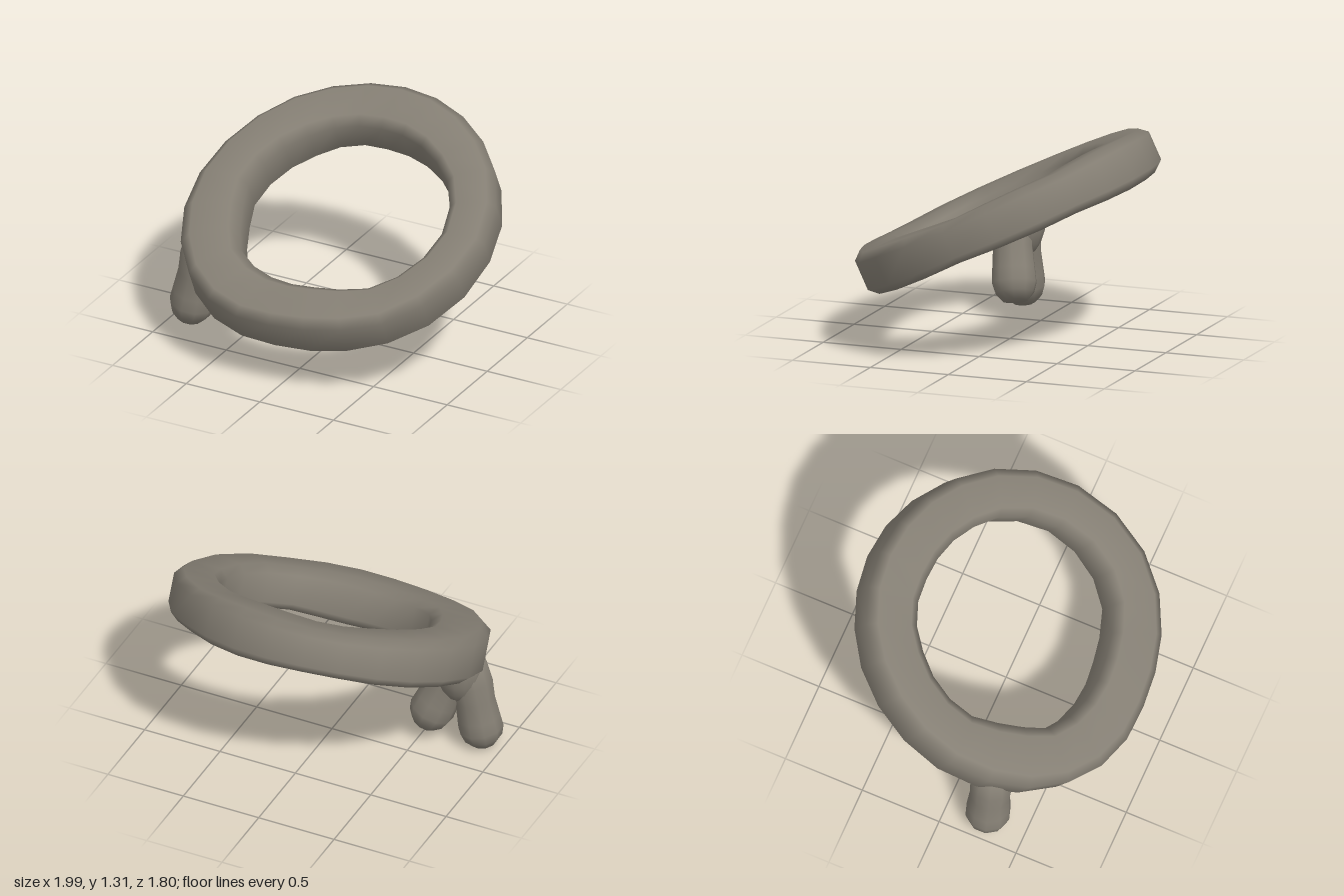
import * as THREE from 'three';

const material = new THREE.MeshStandardMaterial({ color: 0x857f74 });
const SLOPE = 0.48; // the ring drops toward the front
const MID_Y = 0.79;

// Stations every 22.5 degrees from +x toward +z:
// [centre radius seen from above, half width, half thickness]
const stations = [
  [0.855, 0.145, 0.125], [0.848, 0.148, 0.14], [0.8, 0.155, 0.135], [0.725, 0.165, 0.15],
  [0.705, 0.165, 0.145], [0.73, 0.178, 0.135], [0.757, 0.172, 0.145], [0.75, 0.188, 0.15],
  [0.765, 0.165, 0.15], [0.75, 0.16, 0.15], [0.73, 0.168, 0.145], [0.72, 0.165, 0.135],
  [0.71, 0.17, 0.145], [0.727, 0.163, 0.15], [0.765, 0.155, 0.135], [0.82, 0.145, 0.14],
];

// Uneven ring with a bevelled box section, swept around the tilted plane
function ringGeometry() {
  const count = 24, sides = 8;
  const table = new THREE.CatmullRomCurve3(
    stations.map((s) => new THREE.Vector3(...s)), true, 'catmullrom', 0.5);
  const normal = new THREE.Vector3(0, 1, SLOPE).normalize();
  const positions = [], index = [];
  const boxy = (v) => 1.03 * Math.sign(v) * Math.pow(Math.abs(v), 0.47);
  for (let i = 0; i < count; i++) {
    const theta = (i / count) * Math.PI * 2;
    const s = table.getPoint(i / count);
    const dir = new THREE.Vector3(Math.cos(theta), -SLOPE * Math.sin(theta), Math.sin(theta));
    const centre = dir.clone().multiplyScalar(s.x);
    centre.y += MID_Y;
    dir.normalize();
    for (let j = 0; j < sides; j++) {
      const phi = ((j + 0.5) / sides) * Math.PI * 2;
      const p = centre.clone()
        .addScaledVector(dir, boxy(Math.cos(phi)) * s.y)
        .addScaledVector(normal, boxy(Math.sin(phi)) * s.z);
      positions.push(p.x, p.y, p.z);
      const i2 = (i + 1) % count, j2 = (j + 1) % sides;
      const a = i * sides + j, b = i * sides + j2, d = i2 * sides + j, e = i2 * sides + j2;
      index.push(a, b, d, b, e, d);
    }
  }
  const geometry = new THREE.BufferGeometry();
  geometry.setAttribute('position', new THREE.Float32BufferAttribute(positions, 3));
  geometry.setIndex(index);
  geometry.computeVertexNormals();
  return geometry;
}

// Stubby leg with a rounded foot, running from foot to hip
function leg(name, foot, hip) {
  const from = new THREE.Vector3(...foot), to = new THREE.Vector3(...hip);
  const axis = to.clone().sub(from), length = axis.length();
  const profile = [
    [0, 0], [0.075, 0.008], [0.12, 0.06], [0.138, 0.12], [0.132, 0.2],
    [0.122, 0.33], [0.13, 0.45], [0.11, length], [0, length],
  ].map((p) => new THREE.Vector2(...p));
  const mesh = new THREE.Mesh(new THREE.LatheGeometry(profile, 10), material);
  mesh.name = name;
  mesh.position.copy(from);
  mesh.quaternion.setFromUnitVectors(new THREE.Vector3(0, 1, 0), axis.normalize());
  return mesh;
}

export function createModel() {
  const model = new THREE.Group();
  model.name = 'ringOnLegs';

  const ring = new THREE.Mesh(ringGeometry(), material);
  ring.name = 'ring';
  model.add(ring);

  // Two legs fork down from one side of the ring
  model.add(leg('outerLeg', [-0.885, 0.005, 0.26], [-0.77, 0.62, 0.25]));
  model.add(leg('innerLeg', [-0.525, 0.09, 0.175], [-0.73, 0.61, 0.28]));

  // Swelling where the legs meet the ring
  const hip = new THREE.Mesh(new THREE.SphereGeometry(1, 14, 10), material);
  hip.name = 'hip';
  hip.scale.set(0.15, 0.25, 0.16);
  hip.position.set(-0.74, 0.56, 0.23);
  model.add(hip);

  return model;
}
